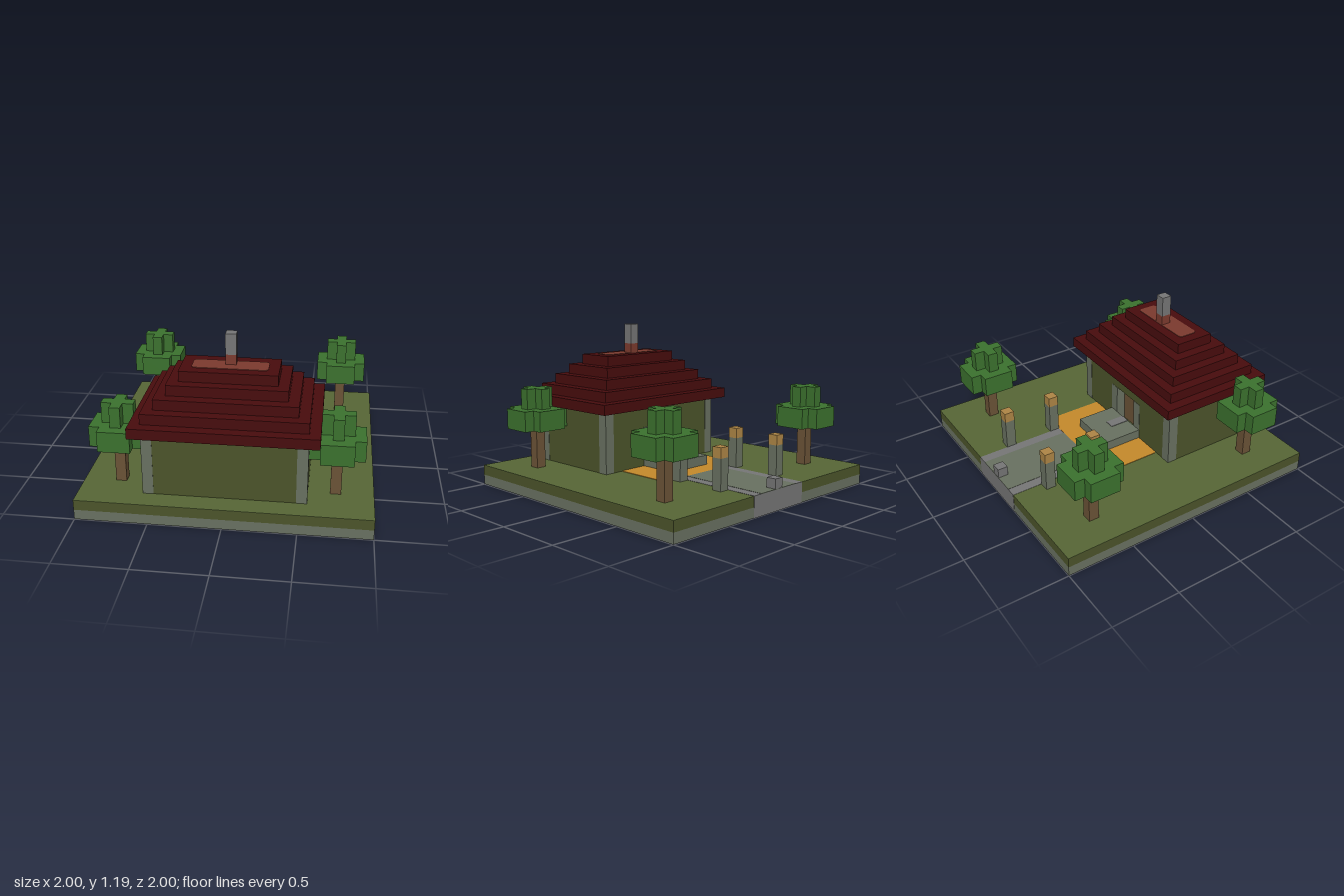
import * as THREE from 'three';

// One cube of the block grid
const U = 2 / 27;

const mat = (name, color) => {
  const m = new THREE.MeshStandardMaterial({ color });
  m.name = name;
  return m;
};

export function createModel() {
  const M = {
    grass: mat('grass', 0x566535),
    wall: mat('dark olive', 0x4b532a),
    stone: mat('mossy stone', 0x687060),
    grey: mat('grey', 0x757575),
    roof: mat('dark red', 0x470c0d),
    rust: mat('rust', 0x7b3a2e),
    yellow: mat('ochre', 0xc4892b),
    lamp: mat('lamp tan', 0xad8545),
    leaf: mat('leaf green', 0x3b712e),
    wood: mat('brown wood', 0x6a5236),
  };
  const model = new THREE.Group();
  model.name = 'cottageGarden';

  // Box from its minimum and maximum corners
  const box = (name, material, x0, x1, y0, y1, z0, z1, parent = model) => {
    const mesh = new THREE.Mesh(new THREE.BoxGeometry(x1 - x0, y1 - y0, z1 - z0), material);
    mesh.position.set((x0 + x1) / 2, (y0 + y1) / 2, (z0 + z1) / 2);
    mesh.name = name;
    parent.add(mesh);
    return mesh;
  };

  // Upright extrusion of a flat outline
  const slab = (name, material, shape, y, height, z, parent = model) => {
    const geo = new THREE.ExtrudeGeometry(shape, { depth: height, bevelEnabled: false, curveSegments: 4 });
    geo.rotateX(-Math.PI / 2);
    const mesh = new THREE.Mesh(geo, material);
    mesh.position.set(0, y, z);
    mesh.name = name;
    parent.add(mesh);
  };

  const roundedRect = (w, d, r) => {
    const s = new THREE.Shape();
    s.absarc(w - r, d - r, r, 0, Math.PI / 2);
    s.absarc(r - w, d - r, r, Math.PI / 2, Math.PI);
    s.absarc(r - w, r - d, r, Math.PI, Math.PI * 1.5);
    s.absarc(w - r, r - d, r, Math.PI * 1.5, Math.PI * 2);
    return s;
  };

  // Plus outline: a = half length of the arms, b = half width
  const cross = (a, b) => new THREE.Shape([
    [a, -b], [a, b], [b, b], [b, a], [-b, a], [-b, b],
    [-a, b], [-a, -b], [-b, -b], [-b, -a], [b, -a], [b, -b],
  ].map(([x, y]) => new THREE.Vector2(x, y)));

  const ground = 2 * U;

  // Ground layers
  box('foundation', M.stone, -1, 1, 0.002, U, -1, 1);
  box('soil', M.wall, -1, 1, U, ground - 0.004, -1, 1);
  box('lawn', M.grass, -1, 1, ground - 0.004, ground, -1, 1);

  // Path, plaza and step
  box('pathKerb', M.grey, -3.5 * U, 3.5 * U, 0, ground + 0.002, -1.002, -4.5 * U);
  box('pathPaving', M.stone, -2.5 * U, 2.5 * U, ground, ground + 0.004, -1.002, -4.5 * U);
  slab('plaza', M.yellow, roundedRect(5.5 * U, 3 * U, 0.015), ground, 0.004, -1.5 * U);
  box('doorStep', M.stone, -2.5 * U, 2.5 * U, ground, 3 * U, -2.5 * U, 1.5 * U);
  box('stepTile', M.grey, -U / 2, U / 2, 3 * U, 3 * U + 0.004, -U / 2, 1.5 * U);
  box('pathStone', M.grey, -U / 2, U / 2, ground, 3 * U, -1, -1 + U);

  // Lamp posts
  for (const side of [-1, 1]) for (const z of [-5, -10]) {
    const lamp = new THREE.Group();
    lamp.name = 'lampPost';
    lamp.position.set(side * 4 * U, 0, z * U);
    box('post', M.stone, -U / 2, U / 2, ground, 5 * U, -U / 2, U / 2, lamp);
    box('lantern', M.lamp, -U / 2, U / 2, 5 * U, 6 * U, -U / 2, U / 2, lamp);
    model.add(lamp);
  }

  // House walls, corner pillars and doorway on the path side
  const house = new THREE.Group();
  house.name = 'house';
  model.add(house);
  const eave = 8 * U, w = 7.5 * U, z0 = 1.5 * U, z1 = 11.5 * U, e = 0.002;
  box('walls', M.wall, -w + e, w - e, ground, eave, z0 + U, z1 - e, house);
  box('lintel', M.wall, -2.5 * U, 2.5 * U, 6 * U, eave, z0 + e, z0 + U, house);
  box('door', M.wood, -1.5 * U, 1.5 * U, ground, 6 * U, z0 + U - 0.006, z0 + U + e, house);
  for (const s of [-1, 1]) {
    const span = (a, b) => [Math.min(s * a, s * b), Math.max(s * a, s * b)];
    box('doorWall', M.wall, ...span(2.5 * U, 6.5 * U), ground, eave, z0 + e, z0 + U, house);
    box('doorJamb', M.stone, ...span(1.5 * U, 2.5 * U), ground, 6 * U, z0, z0 + U, house);
    for (const z of [z0, z1 - U])
      box('cornerPillar', M.stone, ...span(6.5 * U, w), ground, eave, z, z + U, house);
  }

  // Stepped roof with ridge inlay and chimney
  for (let i = 0; i < 5; i++) {
    const hx = (8.5 - i) * U, hz = (6 - i) * U;
    box('roofTier', M.roof, -hx, hx, eave + i * U, eave + (i + 1) * U, 6.5 * U - hz, 6.5 * U + hz, house);
  }
  slab('ridgeInlay', M.rust, roundedRect(3.5 * U, U, 0.03), 13 * U, 0.004, 6.5 * U, house);
  box('chimneyBase', M.rust, -U / 2, U / 2, 13 * U, 14 * U, 5.5 * U, 6.5 * U, house);
  box('chimneyTop', M.grey, -U / 2, U / 2, 14 * U, 16 * U, 5.5 * U, 6.5 * U, house);

  // Four corner trees
  for (const sx of [-1, 1]) for (const sz of [-1, 1]) {
    const tree = new THREE.Group();
    tree.name = 'tree';
    tree.position.set(sx * 10 * U, 0, sz * 9 * U);
    box('trunk', M.wood, -U / 2, U / 2, ground, 6 * U, -U / 2, U / 2, tree);
    slab('lowerLeaves', M.leaf, cross(2.5 * U, 1.5 * U), 6 * U, 2 * U, 0, tree);
    slab('upperLeaves', M.leaf, cross(1.5 * U, 0.5 * U), 8 * U, 2 * U, 0, tree);
    model.add(tree);
  }

  return model;
}
